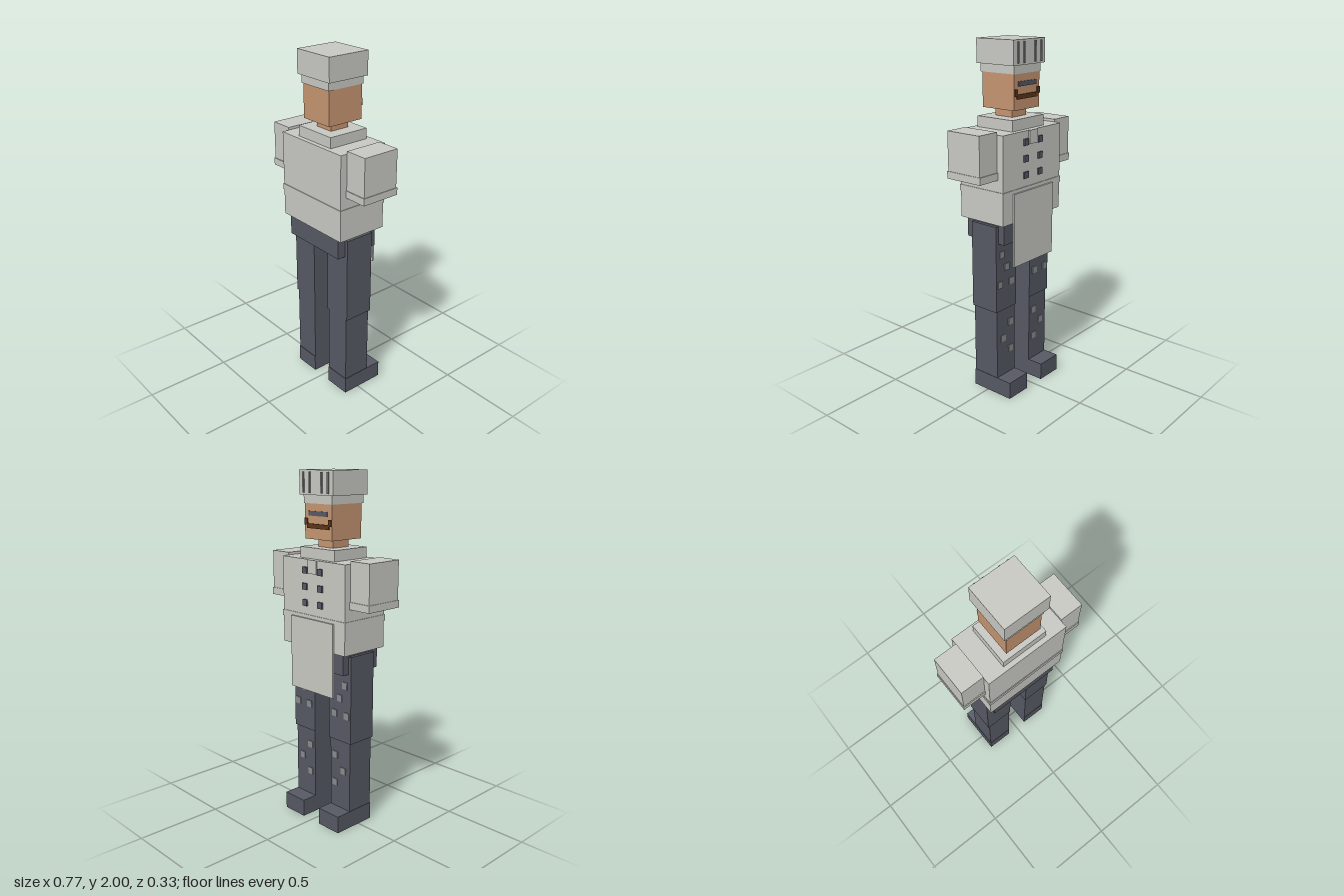
import * as THREE from 'three';

const mat = (name, color) => {
  const m = new THREE.MeshStandardMaterial({ color });
  m.name = name;
  return m;
};

export function createModel() {
  const cloth = mat('pale cloth', 0xc8c9c3);
  const slate = mat('dark slate', 0x565963);
  const skin = mat('skin', 0xc49470);
  const brown = mat('brown hair', 0x5a3418);
  const grey = mat('mid grey', 0x888a8c);

  const model = new THREE.Group();
  model.name = 'cook';

  // Box given by its limits on each axis
  const box = (name, material, [x0, x1], [y0, y1], [z0, z1], parent = model) => {
    const mesh = new THREE.Mesh(new THREE.BoxGeometry(x1 - x0, y1 - y0, z1 - z0), material);
    mesh.position.set((x0 + x1) / 2, (y0 + y1) / 2, (z0 + z1) / 2);
    mesh.name = name;
    parent.add(mesh);
    return mesh;
  };
  // Box limits mirrored to either side
  const side = (s, a, b) => (s > 0 ? [a, b] : [-b, -a]);

  // Hat with pleats on the face side (-z)
  box('hatCrown', cloth, [-0.13, 0.13], [1.87, 2], [-0.117, 0.14]);
  box('hatBand', cloth, [-0.11, 0.11], [1.825, 1.87], [-0.104, 0.13]);
  for (const x of [-0.095, -0.046, 0.046, 0.095]) {
    box('hatPleat', grey, [x - 0.005, x + 0.005], [1.88, 1.99], [-0.123, -0.115]);
  }

  // Head, eye strip and moustache with raised ends
  box('head', skin, [-0.105, 0.105], [1.635, 1.825], [-0.1, 0.121]);
  box('neck', skin, [-0.058, 0.058], [1.585, 1.635], [-0.047, 0.07]);
  box('eyes', slate, [-0.073, 0.073], [1.76, 1.785], [-0.105, -0.098]);
  box('moustache', brown, [-0.085, 0.085], [1.693, 1.718], [-0.106, -0.098]);

  // Jacket
  box('collar', cloth, [-0.134, 0.134], [1.53, 1.59], [-0.111, 0.135]);
  box('jacket', cloth, [-0.246, 0.246], [1.04, 1.53], [-0.142, 0.162]);
  box('jacketBand', cloth, [-0.25, 0.25], [1.19, 1.225], [-0.146, 0.166]);
  box('neckerchief', cloth, [-0.035, 0.035], [1.455, 1.53], [-0.15, -0.141]);
  box('apron', cloth, [-0.168, 0.168], [0.79, 1.205], [-0.156, -0.146]);
  box('hips', slate, [-0.211, 0.211], [0.92, 1.04], [-0.118, 0.148]);

  // Patch positions on the trousers: distance from centre, height
  const thighPatches = [[0.185, 0.85], [0.145, 0.77], [0.2, 0.675], [0.105, 0.675]];
  const shinPatches = [[0.105, 0.42], [0.17, 0.335], [0.105, 0.25]];

  for (const s of [1, -1]) {
    box('moustacheEnd', brown, side(s, 0.08, 0.104), [1.71, 1.746], [-0.106, -0.098]);

    // Short sleeve and cuff
    const arm = new THREE.Group();
    arm.name = s > 0 ? 'leftSleeve' : 'rightSleeve';
    model.add(arm);
    box('sleeve', cloth, side(s, 0.246, 0.381), [1.3, 1.545], [-0.102, 0.121], arm);
    box('cuff', cloth, side(s, 0.243, 0.385), [1.29, 1.33], [-0.107, 0.126], arm);

    // Jacket buttons
    for (const y of [1.29, 1.38, 1.47]) {
      box('button', slate, side(s, 0.043, 0.078), [y - 0.018, y + 0.018], [-0.151, -0.141]);
    }

    // Leg, shoe and patches
    const leg = new THREE.Group();
    leg.name = s > 0 ? 'leftLeg' : 'rightLeg';
    model.add(leg);
    box('thigh', slate, side(s, 0.06, 0.231), [0.515, 1.02], [-0.078, 0.1], leg);
    box('shin', slate, side(s, 0.066, 0.221), [0.05, 0.515], [-0.072, 0.096], leg);
    box('shoe', slate, side(s, 0.066, 0.223), [0, 0.1], [-0.167, 0.099], leg);
    const addPatches = (list, z) => {
      for (const [x, y] of list) {
        box('patch', grey, side(s, x - 0.019, x + 0.019), [y - 0.02, y + 0.02], [z - 0.005, z + 0.002], leg);
      }
    };
    addPatches(thighPatches, -0.078);
    addPatches(shinPatches, -0.072);
  }
  return model;
}
